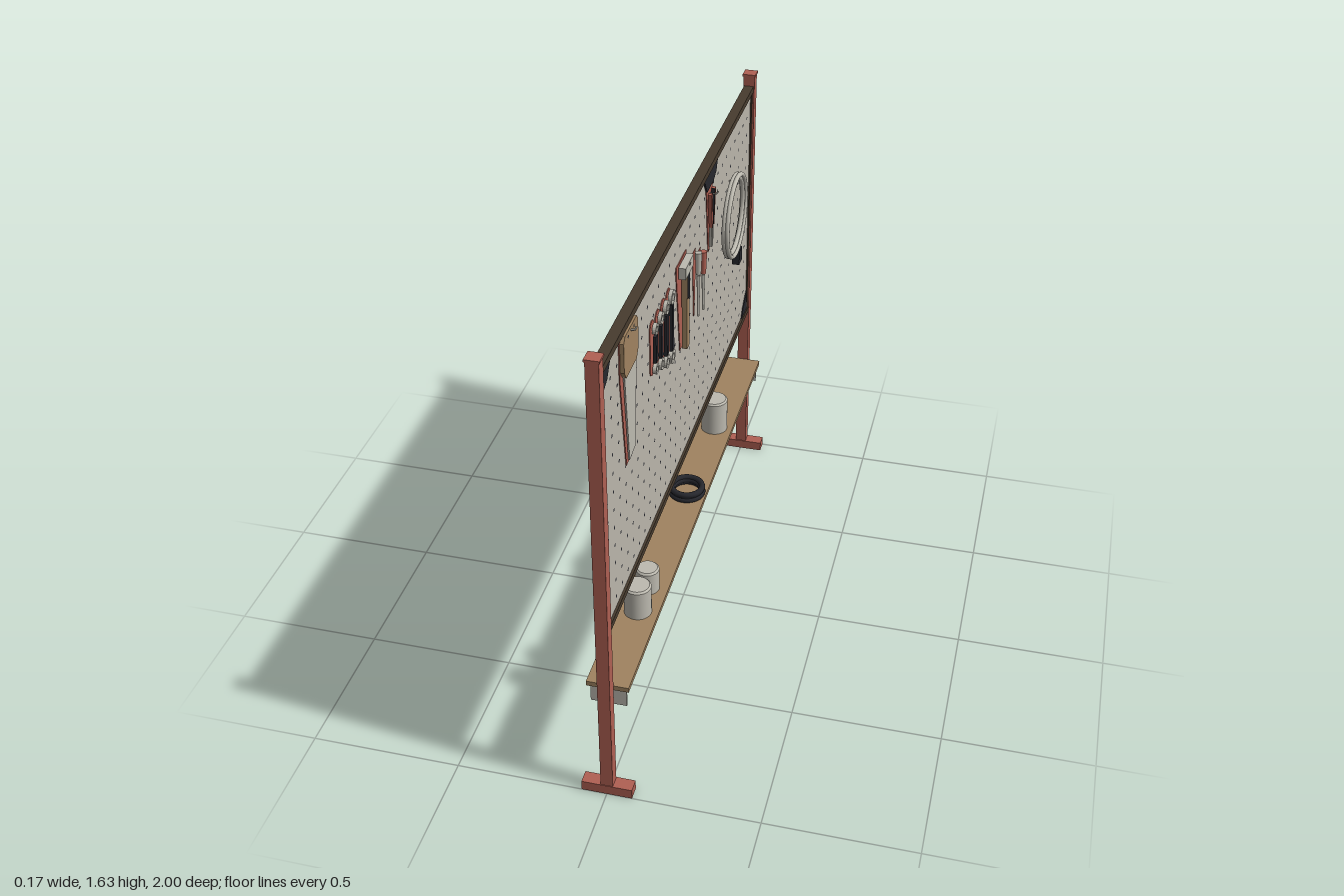
import * as THREE from 'three';
import { mergeGeometries } from 'three/addons/utils/BufferGeometryUtils.js';

const paint = (name, color) => new THREE.MeshStandardMaterial({ name, color });

export function createModel() {
  const red = paint('red paint', 0xb06053), wood = paint('wood', 0xa08360);
  const board = paint('board grey', 0xbab5ab), rail = paint('dark brown', 0x473b2e);
  const black = paint('black rubber', 0x26272d), steel = paint('steel', 0xbdbab0);

  const root = new THREE.Group();
  root.name = 'toolBoard';
  // Everything is laid out facing local +z, then turned to face +x
  const rig = new THREE.Group();
  rig.name = 'rack';
  rig.rotation.y = Math.PI / 2;
  root.add(rig);

  const add = (name, geo, mat, x = 0, y = 0, z = 0) => {
    const m = new THREE.Mesh(geo, mat);
    m.name = name;
    m.position.set(x, y, z);
    rig.add(m);
    return m;
  };
  // Box given by its limits
  const box = (name, mat, x0, x1, y0, y1, z0, z1) =>
    add(name, new THREE.BoxGeometry(x1 - x0, y1 - y0, z1 - z0), mat,
      (x0 + x1) / 2, (y0 + y1) / 2, (z0 + z1) / 2);
  // Flat plate cut from an outline
  const plate = (name, mat, pts, z0, depth) => {
    const shape = pts instanceof THREE.Shape ? pts
      : new THREE.Shape(pts.map(p => new THREE.Vector2(p[0], p[1])));
    return add(name, new THREE.ExtrudeGeometry(shape, { depth, bevelEnabled: false, curveSegments: 10 }), mat, 0, 0, z0);
  };
  const capsule = (u, y0, y1, r) => {
    const s = new THREE.Shape();
    s.absarc(u, y1 - r, r, 0, Math.PI);
    s.absarc(u, y0 + r, r, Math.PI, Math.PI * 2);
    return s;
  };

  // Posts, feet, caps and shelf brackets
  for (const s of [-1, 1]) {
    const side = (name, mat, a, b, ...rest) => box(name, mat, Math.min(s * a, s * b), Math.max(s * a, s * b), ...rest);
    side('foot', red, 0.955, 1, 0, 0.035, -0.083, 0.083);
    side('post', red, 0.958, 0.998, 0.035, 1.62, -0.02, 0.02);
    side('postCap', red, 0.955, 1, 1.62, 1.628, -0.023, 0.023);
    side('sideRail', rail, 0.946, 0.958, 0.65, 1.584, -0.014, 0.014);
    side('shelfBracket', steel, 0.94, 0.946, 0.345, 0.413, -0.058, 0.058);
    side('bracketFlange', steel, 0.905, 0.946, 0.408, 0.413, -0.058, 0.058);
  }

  // Pegboard panel with rails
  box('panel', board, -0.946, 0.946, 0.67, 1.562, -0.007, 0.009);
  box('topRail', rail, -0.958, 0.958, 1.561, 1.584, -0.017, 0.017);
  box('bottomRail', rail, -0.958, 0.958, 0.648, 0.671, -0.017, 0.017);
  const holes = [];
  for (let i = 0; i < 29; i++)
    for (let j = 0; j < 13; j++)
      holes.push(new THREE.CircleGeometry(0.0065, 8).translate(-0.93 + i * 0.065, 0.71 + j * 0.065, 0.0098));
  add('pegHoles', mergeGeometries(holes), black);

  // Dark corner plates
  plate('upperCorner', black, [[-0.946, 1.56], [-0.946, 1.49], [-0.903, 1.51], [-0.866, 1.56]], 0.009, 0.004);
  plate('lowerCorner', black, [[0.946, 0.67], [0.946, 0.75], [0.885, 0.705], [0.861, 0.67]], 0.009, 0.004);
  plate('upperCornerBack', black, [[-0.946, 1.56], [-0.946, 1.515], [-0.90, 1.56]], -0.01, 0.003);
  plate('lowerCornerBack', black, [[0.946, 0.67], [0.946, 0.715], [0.90, 0.67]], -0.01, 0.003);
  plate('topPlate', black, [[0.222, 1.56], [0.26, 1.505], [0.351, 1.505], [0.389, 1.523], [0.41, 1.56]], 0.009, 0.006);

  // Hand saw on its painted silhouette
  plate('sawShadow', red, [[-0.78, 1.56], [-0.78, 1.426], [-0.732, 1.1], [-0.64, 1.11], [-0.62, 1.426], [-0.62, 1.56]], 0.009, 0.003);
  plate('sawBlade', steel, [[-0.757, 1.43], [-0.722, 1.115], [-0.652, 1.126], [-0.633, 1.43]], 0.014, 0.005);
  plate('sawHandle', wood, [[-0.775, 1.545], [-0.775, 1.45], [-0.755, 1.422], [-0.645, 1.422], [-0.625, 1.45],
    [-0.625, 1.545], [-0.64, 1.562], [-0.76, 1.562]], 0.012, 0.012);
  for (const u of [-0.73, -0.67])
    add('sawScrew', new THREE.CircleGeometry(0.006, 10), black, u, 1.545, 0.0245);

  // Row of four ring spanners
  [1.228, 1.206, 1.174, 1.153].forEach((low, i) => {
    const u = -0.432 + i * 0.0645, w = 0.018 + i * 0.002, high = 1.42;
    plate('spannerShadow', red, capsule(u, low, high, w + 0.006), 0.009, 0.003);
    box('spannerShaft', black, u - 0.011, u + 0.011, low + 0.05, high - 0.05, 0.017, 0.027);
    for (const y of [low + 0.026, high - 0.026]) {
      const ring = new THREE.Shape();
      ring.absarc(u, y, w, 0, Math.PI * 2);
      const hole = new THREE.Path();
      hole.absarc(u, y, w * 0.5, 0, Math.PI * 2, true);
      ring.holes.push(hole);
      plate('spannerRing', steel, ring, 0.016, 0.012);
    }
  });

  // Hammer
  plate('hammerShadow', red, [[-0.137, 1.437], [-0.137, 1.39], [-0.094, 1.11], [-0.056, 1.11], [-0.013, 1.39], [-0.013, 1.437]], 0.009, 0.003);
  box('hammerHead', steel, -0.122, -0.02, 1.39, 1.43, 0.014, 0.038);
  box('hammerHandle', wood, -0.088, -0.058, 1.115, 1.39, 0.016, 0.034);
  box('hammerGrip', black, -0.085, -0.061, 1.3, 1.388, 0.033, 0.036);

  // Two screwdrivers
  [[0.099, 1.373, 1.285, 1.13, steel], [0.169, 1.34, 1.25, 1.115, red]].forEach(([u, top, mid, tip, grip]) => {
    plate('driverShadow', red, [[u - 0.018, top], [u - 0.016, mid], [u - 0.006, tip], [u + 0.006, tip],
      [u + 0.016, mid], [u + 0.018, top]].map(([a, b]) => [b < mid ? u + (a - u) * 0.7 : a, b]), 0.009, 0.002);
    add('driverHandle', new THREE.CylinderGeometry(0.012, 0.009, top - mid - 0.008, 12), grip, u, (top + mid) / 2, 0.025);
    add('driverShaft', new THREE.CylinderGeometry(0.006, 0.004, mid - tip, 10), steel, u, (mid + tip) / 2, 0.025);
  });

  // Pliers
  plate('pliersShadow', red, [[0.26, 1.505], [0.294, 1.265], [0.312, 1.265], [0.351, 1.505]], 0.009, 0.003);
  for (const s of [-1, 1]) {
    const c = 0.304;
    plate('pliersHandle', red, [[c + s * 0.034, 1.49], [c + s * 0.02, 1.49], [c + s * 0.004, 1.37], [c + s * 0.014, 1.36]], 0.014, 0.012);
    plate('pliersJaw', steel, [[c + s * 0.002, 1.37], [c + s * 0.014, 1.36], [c + s * 0.007, 1.285], [c + s * 0.002, 1.285]], 0.014, 0.01);
    plate('pliersEdge', black, [[c + s * 0.02, 1.49], [c + s * 0.016, 1.49], [c + s * 0.002, 1.37], [c + s * 0.005, 1.37]], 0.014, 0.013);
  }

  // Hanging hose coil with its plug
  [[0.146, 0.026], [0.147, 0.038], [0.134, 0.03]].forEach(([r, z]) =>
    add('hoseCoil', new THREE.TorusGeometry(r, 0.0085, 10, 56), steel, 0.614, 1.243, z));
  box('plug', black, 0.643, 0.688, 1.03, 1.083, 0.018, 0.045);

  // Small hooks that carry the tools
  for (const [u, y] of [[-0.7, 1.55], [-0.072, 1.415], [0.614, 1.375], [0.304, 1.48]]) {
    const curve = new THREE.CatmullRomCurve3([[0, 0, 0.008], [0, 0, 0.028], [0, 0.003, 0.037], [0, 0.014, 0.041]]
      .map(p => new THREE.Vector3(...p)));
    add('pegHook', new THREE.TubeGeometry(curve, 10, 0.003, 6), steel, u, y, 0);
  }

  // Shelf with tins and a cable coil
  box('shelf', wood, -0.957, 0.957, 0.413, 0.43, -0.068, 0.068);
  [[-0.603, 0.045, 0.11], [-0.483, 0.039, 0.085], [0.467, 0.048, 0.13]].forEach(([u, r, h]) => {
    const profile = [[0, 0], [r, 0], [r, 0], [r, h - 0.006], [r, h - 0.006], [r - 0.006, h], [r - 0.006, h], [0, h]];
    add('tin', new THREE.LatheGeometry(profile.map(p => new THREE.Vector2(...p)), 32), steel, u, 0.43, 0);
  });
  [[0.055, 0.44], [0.05, 0.451], [0.054, 0.46]].forEach(([r, y], i) => {
    add('cableCoil', new THREE.TorusGeometry(r, 0.0105, 10, 36), black, 0.046, y, 0).rotation.x = Math.PI / 2;
  });

  return root;
}
